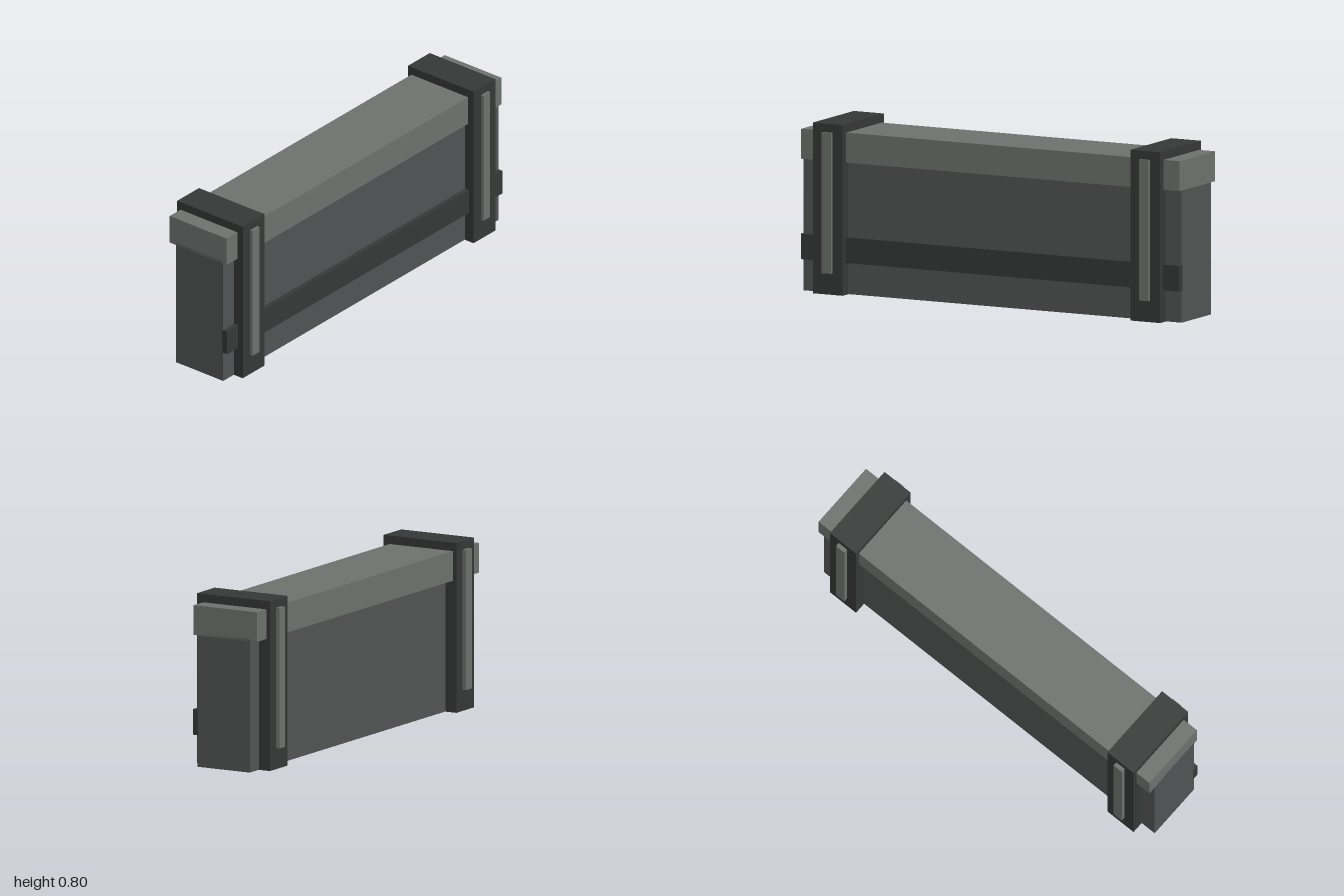
import * as THREE from 'three';

const material = (color) => new THREE.MeshStandardMaterial({ color });

export function createModel() {
  const model = new THREE.Group();
  model.name = 'barrier';
  const light = material(0x6d726e);
  const mid = material(0x505453);
  const dark = material(0x343837);

  // Box given by its extents along each axis
  const box = (name, [x0, x1], [y0, y1], [z0, z1], mat, parent = model) => {
    const mesh = new THREE.Mesh(new THREE.BoxGeometry(x1 - x0, y1 - y0, z1 - z0), mat);
    mesh.position.set((x0 + x1) / 2, (y0 + y1) / 2, (z0 + z1) / 2);
    mesh.name = name;
    parent.add(mesh);
  };

  // Wall, top cap and front rail run the full length
  box('wall', [-1, 1], [0.001, 0.63], [-0.135, 0.148], mid);
  box('cap', [-1, 1], [0.62, 0.76], [-0.173, 0.168], light);
  box('frontRail', [-1, 1], [0.15, 0.27], [0.14, 0.172], dark);

  // Two clamping posts, each with a raised strip front and back
  for (const [name, x] of [['leftPost', 0.836], ['rightPost', -0.842]]) {
    const post = new THREE.Group();
    post.name = name;
    post.position.x = x;
    model.add(post);
    box('postBlock', [-0.079, 0.079], [0, 0.8], [-0.193, 0.2], dark, post);
    box('frontStrip', [-0.025, 0.025], [0.1, 0.76], [0.19, 0.214], light, post);
    box('backStrip', [-0.025, 0.025], [0.1, 0.76], [-0.213, -0.185], light, post);
  }
  return model;
}
